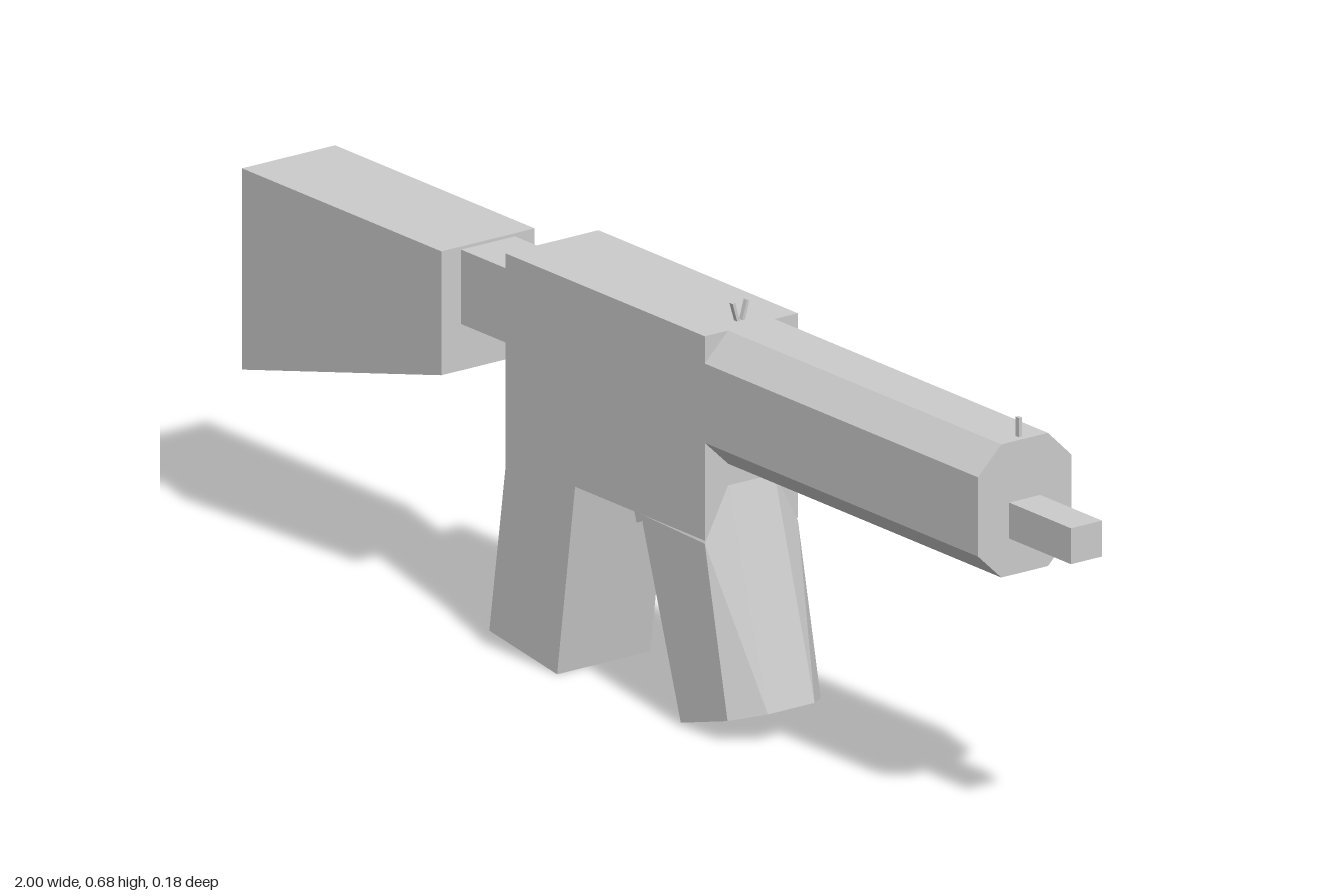
import * as THREE from 'three';
import { ConvexGeometry } from 'three/addons/geometries/ConvexGeometry.js';

const HALF = 0.09; // half thickness of the main parts

export function createModel() {
  const model = new THREE.Group();
  const material = new THREE.MeshStandardMaterial({ color: 0xcccccc, flatShading: true });

  const add = (name, geometry) => {
    const mesh = new THREE.Mesh(geometry, material);
    mesh.name = name;
    model.add(mesh);
    return mesh;
  };

  // Side outline in x, y, given thickness around z = 0
  const slab = (name, points, half) => {
    const shape = new THREE.Shape(points.map(([x, y]) => new THREE.Vector2(x, y)));
    const geometry = new THREE.ExtrudeGeometry(shape, { depth: half * 2, bevelEnabled: false });
    return add(name, geometry.translate(0, 0, -half));
  };

  // Box from its extents in x and y, centred on z = 0
  const block = (name, x0, x1, y0, y1, half) =>
    add(name, new THREE.BoxGeometry(x1 - x0, y1 - y0, half * 2)
      .translate((x0 + x1) / 2, (y0 + y1) / 2, 0));

  // Convex solid from points mirrored across z = 0
  const mirroredHull = (name, points) =>
    add(name, new ConvexGeometry(points.flatMap(([x, y, z]) =>
      [new THREE.Vector3(x, y, z), new THREE.Vector3(x, y, -z)])));

  // Receiver and slanted grip in one outline
  slab('receiverAndGrip', [
    [-0.34, 0.65], [-0.34, 0.3], [-0.38, 0.03], [-0.21, 0.005],
    [-0.165, 0.32], [0.16, 0.32], [0.16, 0.65],
  ], HALF);

  // Stock and the bar that joins it
  slab('stock', [[-1, 0.61], [-1, 0.285], [-0.5, 0.41], [-0.5, 0.61]], HALF);
  block('stockBar', -0.5, -0.34, 0.485, 0.605, 0.052);

  // Magazine with chamfered front corners
  mirroredHull('magazine', [
    [0, 0.32, HALF], [0.16, 0.315, HALF], [0.16, 0.4, 0.045],
    [0.1, 0.01, HALF], [0.217, 0.044, HALF], [0.26, 0.057, 0.045],
  ]);

  // Octagonal handguard
  mirroredHull('handguard', [0.16, 0.845].flatMap((x) => [
    [x, 0.65, 0.045], [x, 0.606, HALF], [x, 0.478, HALF], [x, 0.435, 0.045],
  ]));

  block('barrel', 0.845, 1, 0.495, 0.553, 0.03);

  // Slanted trigger
  slab('trigger', [[-0.135, 0.325], [-0.112, 0.26], [-0.098, 0.266], [-0.115, 0.325]], 0.012);

  // Rear sight, two posts spread in a V
  for (const side of [-1, 1]) {
    const post = add('rearSightPost', new THREE.BoxGeometry(0.008, 0.034, 0.005));
    post.position.set(0.13, 0.664, side * 0.009);
    post.rotation.x = side * 0.28;
  }
  block('frontSight', 0.826, 0.834, 0.645, 0.681, 0.003);

  return model;
}
